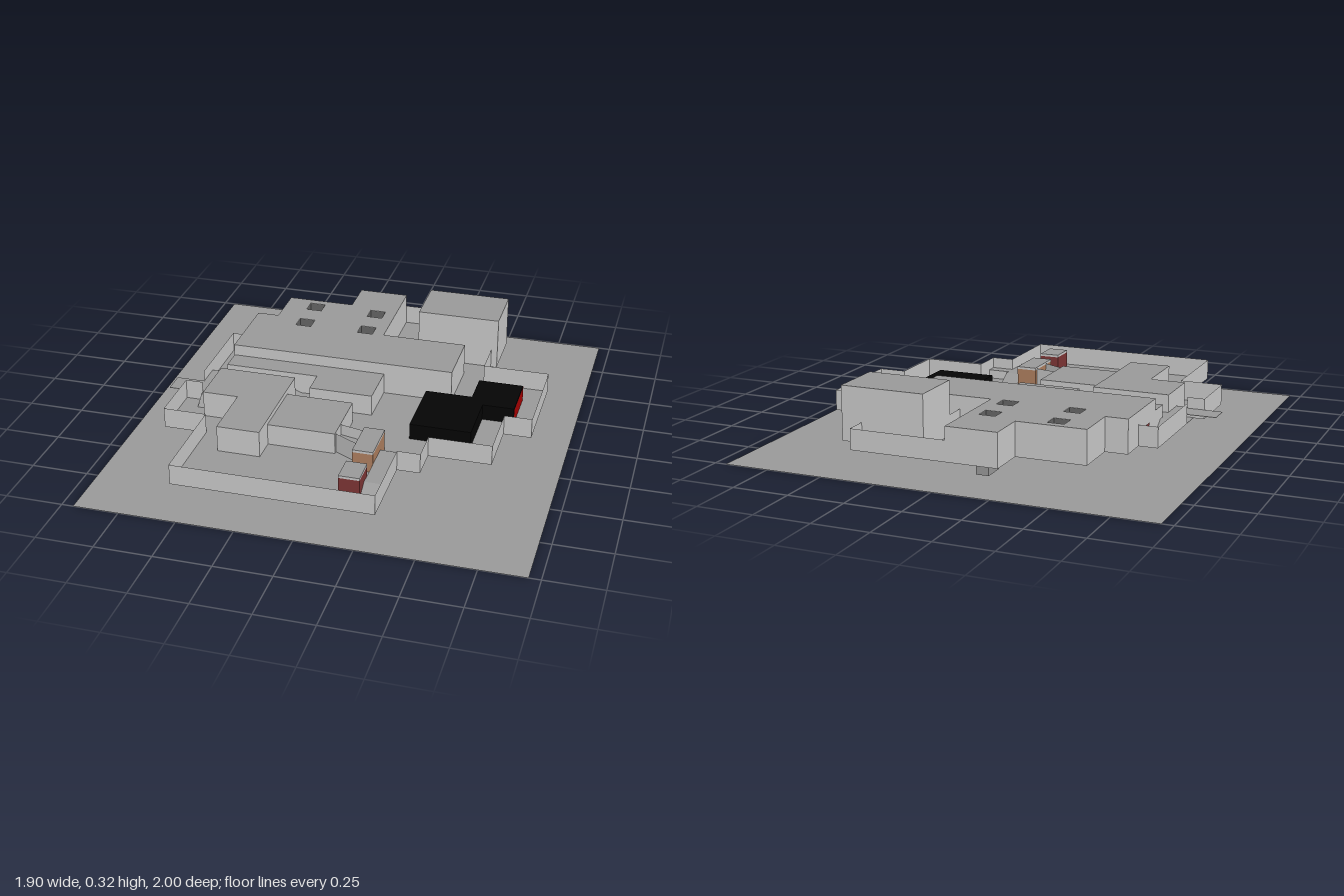
import * as THREE from 'three';

const mat = (color) => new THREE.MeshStandardMaterial({ color, flatShading: true, side: THREE.DoubleSide });
const wall = mat(0xcccccc), top = mat(0x999999), black = mat(0x050505), red = mat(0xaa0000);
const darkRed = mat(0x7f3636), brown = mat(0xb08060), shade = mat(0x666666);
const BASE = 0.085, RAISED = 0.125, WALL = 0.175;

export function createModel() {
  const model = new THREE.Group();

  function add(name, geometry, material) {
    const mesh = new THREE.Mesh(geometry, material);
    mesh.name = name;
    model.add(mesh);
  }

  // Solid raised from a plan outline of [x, z] points: darker top, lighter sides, optional holes
  function block(name, plan, y0, y1, material = [top, wall], holes = []) {
    const toPoints = (list) => list.map(([x, z]) => new THREE.Vector2(x, -z));
    const shape = new THREE.Shape(toPoints(plan));
    for (const hole of holes) shape.holes.push(new THREE.Path(toPoints(hole)));
    const geo = new THREE.ExtrudeGeometry(shape, { depth: y1 - y0, bevelEnabled: false });
    geo.rotateX(-Math.PI / 2).translate(0, y0, 0);
    add(name, geo, material);
  }

  const rect = (x0, x1, z0, z1) => [[x0, z0], [x1, z0], [x1, z1], [x0, z1]];

  // Thin four-cornered panels, each a list of [x, y, z] corners
  function panels(name, quads, material) {
    const pos = quads.flatMap(([a, b, c, d]) => [a, b, c, a, c, d].flat());
    const geo = new THREE.BufferGeometry();
    geo.setAttribute('position', new THREE.Float32BufferAttribute(pos, 3));
    geo.computeVertexNormals();
    add(name, geo, material);
  }

  // Upright panels along a path of [x, z] points
  function walls(name, path, y0 = BASE, y1 = WALL, material = wall) {
    panels(name, path.slice(1).map(([bx, bz], i) => {
      const [ax, az] = path[i];
      return [[ax, y0, az], [bx, y0, bz], [bx, y1, bz], [ax, y1, az]];
    }), material);
  }

  // Ramp over a plan rectangle, from height ya at z0 to yb at z1
  const ramp = (x0, x1, z0, z1, ya, yb) =>
    panels('ramp', [[[x0, ya, z0], [x0, yb, z1], [x1, yb, z1], [x1, ya, z0]]], top);

  // Ground sheet, with the raised yard floor above it
  add('ground', new THREE.PlaneGeometry(1.9, 2).rotateX(-Math.PI / 2), top);
  block('floor', [
    [-0.575, 0.855], [0.3, 0.855], [0.3, 0.5], [0.4, 0.5], [0.4, 0.355], [0.675, 0.355], [0.675, 0.09], [0.797, 0.09],
    [0.797, -0.34], [0.5, -0.34], [0.5, -0.76], [0.435, -0.76], [0.435, -0.86], [-0.225, -0.86], [-0.225, -0.685],
    [-0.535, -0.685], [-0.535, -0.48], [-0.635, -0.48], [-0.635, -0.35], [-0.72, -0.35], [-0.72, 0.05],
    [-0.72, 0.15], [-0.768, 0.15], [-0.768, 0.42], [-0.575, 0.42],
  ], BASE - 0.002, BASE);
  block('basementStep', rect(-0.15, -0.095, -0.78, -0.68), 0.02, BASE, top);

  // Outer yard walls
  walls('yardWall', [
    [-0.69, 0.15], [-0.768, 0.15], [-0.768, 0.42], [-0.575, 0.42], [-0.575, 0.855], [0.3, 0.855], [0.3, 0.5],
    [0.4, 0.5], [0.4, 0.355], [0.675, 0.355], [0.675, 0.09], [0.797, 0.09], [0.797, -0.34], [0.5, -0.34], [0.5, -0.51],
  ]);
  walls('sideYardWall', [[-0.635, -0.35], [-0.72, -0.35], [-0.72, 0.05]]);
  walls('backYardWall', [[0.005, -0.86], [0.435, -0.86], [0.435, -0.76]]);
  walls('passageWall', [[0.15, -0.51], [0.15, -0.41]]);
  walls('entryWallBack', [[0.015, 0.35], [0.12, 0.375]]);
  walls('entryWallFront', [[0.015, 0.43], [0.12, 0.485]]);

  // Raised entrances with ramps down to the yard
  block('gateTerrace', [
    [0.21, 0.43], [0.3, 0.43], [0.3, 0.45], [0.4, 0.45], [0.4, 0.5], [0.3, 0.5], [0.3, 0.69], [0.21, 0.69],
  ], BASE, RAISED);
  block('entryWalk', [[0.015, 0.35], [0.12, 0.375], [0.12, 0.485], [0.015, 0.43]], BASE, RAISED);
  block('sidePlatform', [
    [-0.85, 0.05], [-0.72, 0.05], [-0.72, -0.06], [-0.635, -0.06], [-0.635, -0.03], [-0.37, -0.03],
    [-0.37, 0.05], [-0.635, 0.05], [-0.635, 0.17], [-0.69, 0.17], [-0.69, 0.15], [-0.85, 0.15],
  ], RAISED - 0.002, RAISED);
  ramp(0.21, 0.3, 0.36, 0.43, BASE, RAISED);
  ramp(0.21, 0.3, 0.69, 0.76, RAISED, BASE);
  ramp(-0.72, -0.635, -0.12, -0.06, BASE, RAISED);
  ramp(-0.69, -0.635, 0.17, 0.22, RAISED, BASE);
  panels('alleyRamp', [[
    [-0.37, RAISED, -0.03], [-0.37, RAISED, 0.05], [-0.285, BASE, 0.05], [-0.285, BASE, -0.03],
  ]], top);

  // Main hall with four square skylights, lined in a darker shade
  const lights = [];
  for (const x of [-0.387, -0.085])
    for (const z of [-0.615, -0.44]) lights.push(rect(x - 0.037, x + 0.037, z - 0.035, z + 0.035));
  const hall = [
    [-0.635, -0.13], [0.393, -0.13], [0.393, -0.41], [0.005, -0.41], [0.005, -0.86], [-0.225, -0.86],
    [-0.225, -0.685], [-0.535, -0.685], [-0.535, -0.48], [-0.635, -0.48],
  ];
  block('mainHall', hall, BASE, 0.18);
  block('mainHallRoof', hall, 0.18, 0.233, undefined, lights);
  for (const [[x0, z0], , [x1, z1]] of lights) {
    const [a, b, c, d] = rect(x0 + 0.001, x1 - 0.001, z0 + 0.001, z1 - 0.001);
    walls('skylightLining', [a, b, c, d, a], 0.18, 0.232, shade);
  }
  walls('sideDoor', [[-0.638, -0.28], [-0.638, -0.22]], BASE, 0.15, darkRed);

  // Tower and lower wings
  block('tower', rect(0.15, 0.528, -0.76, -0.51), BASE, 0.325);
  block('middleWing', [
    [-0.635, -0.13], [0.08, -0.13], [0.08, 0.085], [-0.207, 0.085], [-0.207, -0.03], [-0.635, -0.03],
  ], BASE, 0.181);
  block('frontWing', [
    [-0.635, 0.05], [-0.285, 0.05], [-0.285, 0.555], [-0.475, 0.555], [-0.475, 0.285], [-0.635, 0.285],
  ], BASE, 0.204);
  block('frontRoom', rect(-0.285, 0.015, 0.165, 0.445), BASE, 0.181);

  // Small houses: coloured walls under grey roof slabs
  for (const [name, z0, z1, color] of [['gateHouse', 0.355, 0.55, brown], ['redHut', 0.64, 0.76, darkRed]]) {
    block(name, rect(0.12, 0.21, z0, z1), BASE, 0.17, color);
    block(name + 'Roof', rect(0.12, 0.21, z0, z1), 0.17, 0.181);
  }

  // Black stepped annex with a red end
  block('blackAnnex', [
    [0.29, -0.07], [0.5, -0.07], [0.5, -0.23], [0.7, -0.23], [0.7, -0.01], [0.56, -0.01], [0.56, 0.24], [0.29, 0.24],
  ], BASE, 0.157, black);
  walls('annexEnd', [[0.702, -0.23], [0.702, -0.01]], BASE, 0.155, red);

  return model;
}
